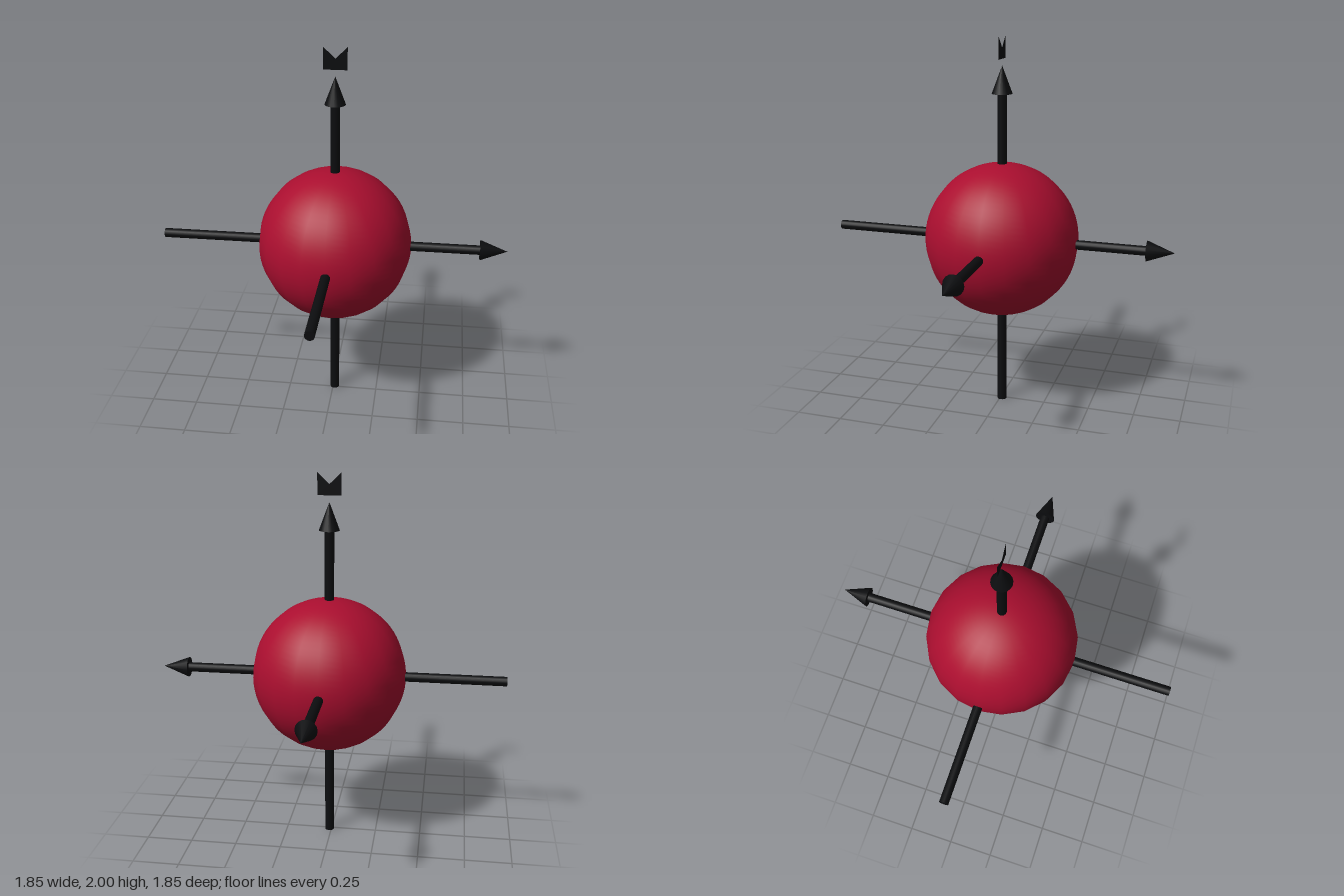
import * as THREE from 'three';

export function createModel() {
  const model = new THREE.Group();
  const crimson = new THREE.MeshStandardMaterial({ name: 'crimson', color: 0xaa0e2f });
  const black = new THREE.MeshStandardMaterial({ name: 'black', color: 0x0c0d0f });
  const blackSheet = new THREE.MeshStandardMaterial({ name: 'blackSheet', color: 0x0c0d0f, side: THREE.DoubleSide });

  // everything is placed around the ball's centre
  const center = new THREE.Group();
  center.name = 'axisBall';
  center.position.set(0.01, 0.937, -0.01);
  model.add(center);

  const add = (parent, name, geometry, material, y = 0) => {
    const mesh = new THREE.Mesh(geometry, material);
    mesh.name = name;
    mesh.position.y = y;
    parent.add(mesh);
  };

  add(center, 'ball', new THREE.SphereGeometry(0.409, 20, 40), crimson);

  // an arrow through the ball: plain tail on one side, pointed head on the other
  const tail = -0.937, neck = 0.772, tip = 0.915;
  const shaft = new THREE.CylinderGeometry(0.025, 0.025, neck - tail, 16);
  const head = new THREE.ConeGeometry(0.054, tip - neck, 16);
  const arrow = (name, rx, rz) => {
    const group = new THREE.Group();
    group.name = name;
    add(group, 'shaft', shaft, black, (neck + tail) / 2);
    add(group, 'arrowHead', head, black, (neck + tip) / 2);
    group.rotation.set(rx, 0, rz);
    center.add(group);
  };
  arrow('upArrow', 0, 0);
  arrow('sideArrow', 0, -Math.PI / 2);
  arrow('backArrow', -Math.PI / 2, 0);

  // flat notched marker floating above the upright arrow
  const notched = new THREE.Shape([
    [-0.061, 0], [0.061, 0], [0.061, 0.115], [0, 0.056], [-0.061, 0.115],
  ].map(([x, y]) => new THREE.Vector2(x, y)));
  add(center, 'topMarker', new THREE.ShapeGeometry(notched), blackSheet, 0.948);

  return model;
}
